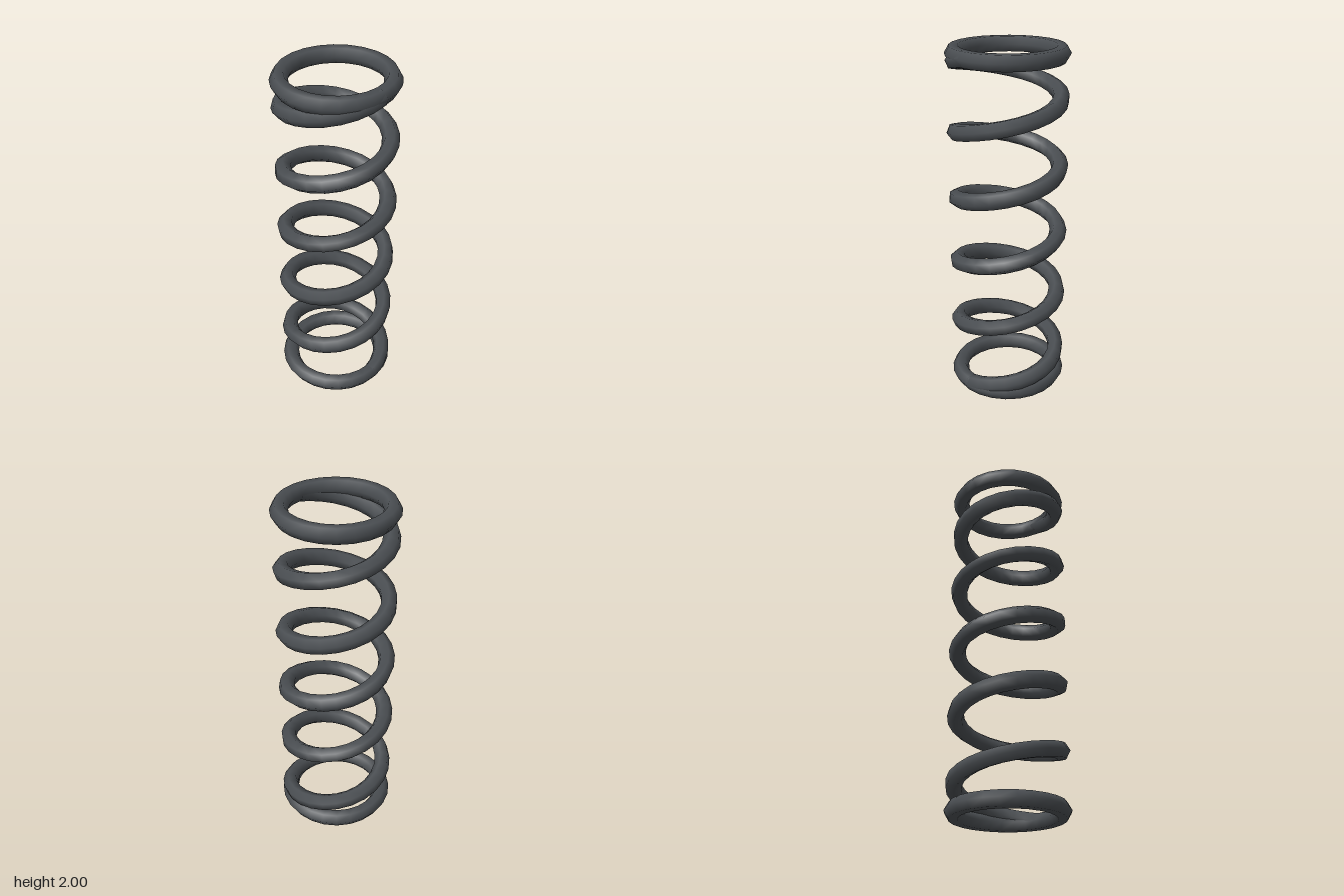
import * as THREE from 'three';

const RADIUS = 0.288, WIRE = 0.048, SIDES = 6, STEPS = 24;
const TURNS = 5, BOTTOM = 0.043, TOP = 1.958;

// Centre line of the coil, rising from +x towards the back
class Helix extends THREE.Curve {
  getPoint(t, target = new THREE.Vector3()) {
    const a = t * TURNS * Math.PI * 2;
    return target.set(
      RADIUS * Math.cos(a),
      BOTTOM + (TOP - BOTTOM) * t,
      -RADIUS * Math.sin(a)
    );
  }
}

export function createModel() {
  const group = new THREE.Group();
  group.name = 'coilSpring';

  const steel = new THREE.MeshStandardMaterial({ color: 0x4a4e52, side: THREE.DoubleSide });
  steel.name = 'darkSteel';

  const add = (name, geometry) => {
    const mesh = new THREE.Mesh(geometry, steel);
    mesh.name = name;
    group.add(mesh);
    return mesh;
  };

  // Spring wire
  add('coil', new THREE.TubeGeometry(new Helix(), TURNS * STEPS, WIRE, SIDES, false));

  // Flat closing rings at both ends
  for (const [name, y] of [['bottomRing', BOTTOM], ['topRing', TOP]]) {
    const ring = new THREE.TorusGeometry(RADIUS, WIRE, SIDES, STEPS);
    ring.rotateX(Math.PI / 2);
    add(name, ring).position.y = y;
  }

  return group;
}
